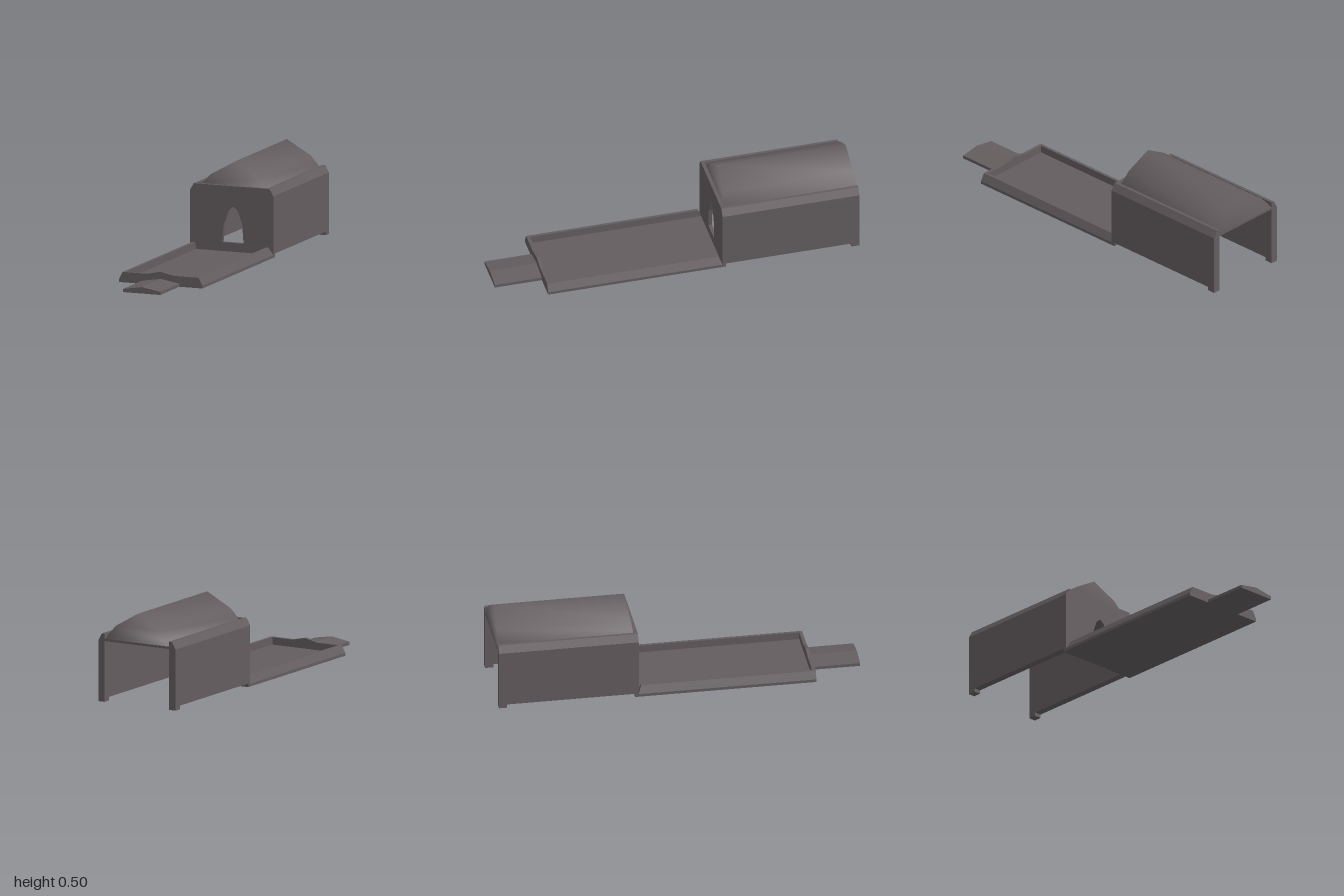
import * as THREE from 'three';

const stone = new THREE.MeshStandardMaterial({ color: 0x645d5f });
stone.name = 'dark stone';

function add(group, name, geometry) {
  const mesh = new THREE.Mesh(geometry, stone);
  mesh.name = name;
  group.add(mesh);
  return mesh;
}

// Extrude an x-y outline from z0 (back) to z1 (front)
function slab(points, z0, z1, hole) {
  const shape = new THREE.Shape(points.map(([x, y]) => new THREE.Vector2(x, y)));
  if (hole) shape.holes.push(new THREE.Path(hole.map(([x, y]) => new THREE.Vector2(x, y))));
  const g = new THREE.ExtrudeGeometry(shape, { depth: z1 - z0, bevelEnabled: false });
  return g.translate(0, 0, z0);
}

function box(x0, x1, y0, y1, z0, z1) {
  return new THREE.BoxGeometry(x1 - x0, y1 - y0, z1 - z0)
    .translate((x0 + x1) / 2, (y0 + y1) / 2, (z0 + z1) / 2);
}

// Outline mirrored to the -x side
const mirror = (pts) => pts.map(([x, y]) => [-x, y]).reverse();

// Smoothly shaded pointed vault whose gable ends lean slightly inward
function vaultGeometry() {
  const profile = [ // x, y, front z, back z
    [0.2, 0.347, -0.253, -1], [0.18, 0.376, -0.256, -0.998], [0.139, 0.425, -0.262, -0.993],
    [0.003, 0.505, -0.276, -0.986],
    [-0.137, 0.425, -0.262, -0.993], [-0.18, 0.376, -0.256, -0.998], [-0.2, 0.347, -0.253, -1],
  ];
  const n = profile.length;
  const pos = [], idx = [];
  profile.forEach(([x, y, zf]) => pos.push(x, y, zf));
  profile.forEach(([x, y, , zb]) => pos.push(x, y, zb));
  for (let i = 0; i < n - 1; i++) {
    idx.push(i, n + i, i + 1, i + 1, n + i, n + i + 1);
  }
  for (let i = 0; i < 3; i++) {
    const a = i, b = i + 1, c = n - 2 - i, d = n - 1 - i;
    idx.push(a, b, d, n + a, n + d, n + b);
    if (b !== c) idx.push(b, c, d, n + b, n + d, n + c);
  }
  const g = new THREE.BufferGeometry();
  g.setAttribute('position', new THREE.Float32BufferAttribute(pos, 3));
  g.setIndex(idx);
  g.computeVertexNormals();
  return g;
}

export function createModel() {
  const model = new THREE.Group();
  model.name = 'vaultedHall';

  // Hall: side walls with chamfered tops and small feet
  const hall = new THREE.Group();
  hall.name = 'hall';
  model.add(hall);
  const wall = [[0.205, 0.02], [0.245, 0.02], [0.245, 0.337], [0.222, 0.376], [0.205, 0.376]];
  for (const [side, s] of [['left', 1], ['right', -1]]) {
    add(hall, side + 'Wall', slab(s > 0 ? wall : mirror(wall), -1, -0.255));
    const x0 = s > 0 ? 0.205 : -0.245;
    add(hall, side + 'BackFoot', box(x0, x0 + 0.04, 0, 0.02, -1, -0.955));
  }

  // Front wall with an arched doorway
  const front = [[-0.245, 0], [0.245, 0], [0.245, 0.337], [0.222, 0.376], [-0.222, 0.376], [-0.245, 0.337]];
  const arch = [[-0.055, 0.065], [-0.045, 0.172], [-0.018, 0.246], [0.007, 0.265],
    [0.034, 0.246], [0.062, 0.172], [0.07, 0.065]];
  add(hall, 'frontWall', slab(front, -0.255, -0.235, arch));

  // Roof
  add(hall, 'ceiling', box(-0.205, 0.205, 0.335, 0.348, -1, -0.255));
  add(hall, 'vaultRoof', vaultGeometry());

  // Forecourt: floor plate with a raised rim
  const court = new THREE.Group();
  court.name = 'forecourt';
  model.add(court);
  add(court, 'courtFloor', box(-0.245, 0.245, 0, 0.016, -0.235, 0.738));
  const rim = [[0.207, 0.016], [0.245, 0.016], [0.223, 0.057], [0.207, 0.057]];
  for (const [side, s] of [['left', 1], ['right', -1]]) {
    const g = slab(s > 0 ? rim : mirror(rim), -0.235, 0.722);
    // slope the rear end of the rim
    const p = g.attributes.position;
    for (let i = 0; i < p.count; i++) {
      if (p.getZ(i) < 0 && p.getY(i) > 0.05) p.setZ(i, -0.218);
    }
    g.computeVertexNormals();
    add(court, side + 'Rim', g);
  }
  const lip = [[-0.245, 0.016], [0.245, 0.016], [0.223, 0.057], [0.08, 0.057],
    [0, 0.074], [-0.08, 0.057], [-0.223, 0.057]];
  add(court, 'frontRim', slab(lip, 0.72, 0.738));

  // Entrance ramp with a shallow ridge
  const ramp = [[-0.11, 0], [0.11, 0], [0.11, 0.017], [0, 0.035], [-0.11, 0.017]];
  add(model, 'entranceRamp', slab(ramp, 0.738, 1));

  return model;
}
